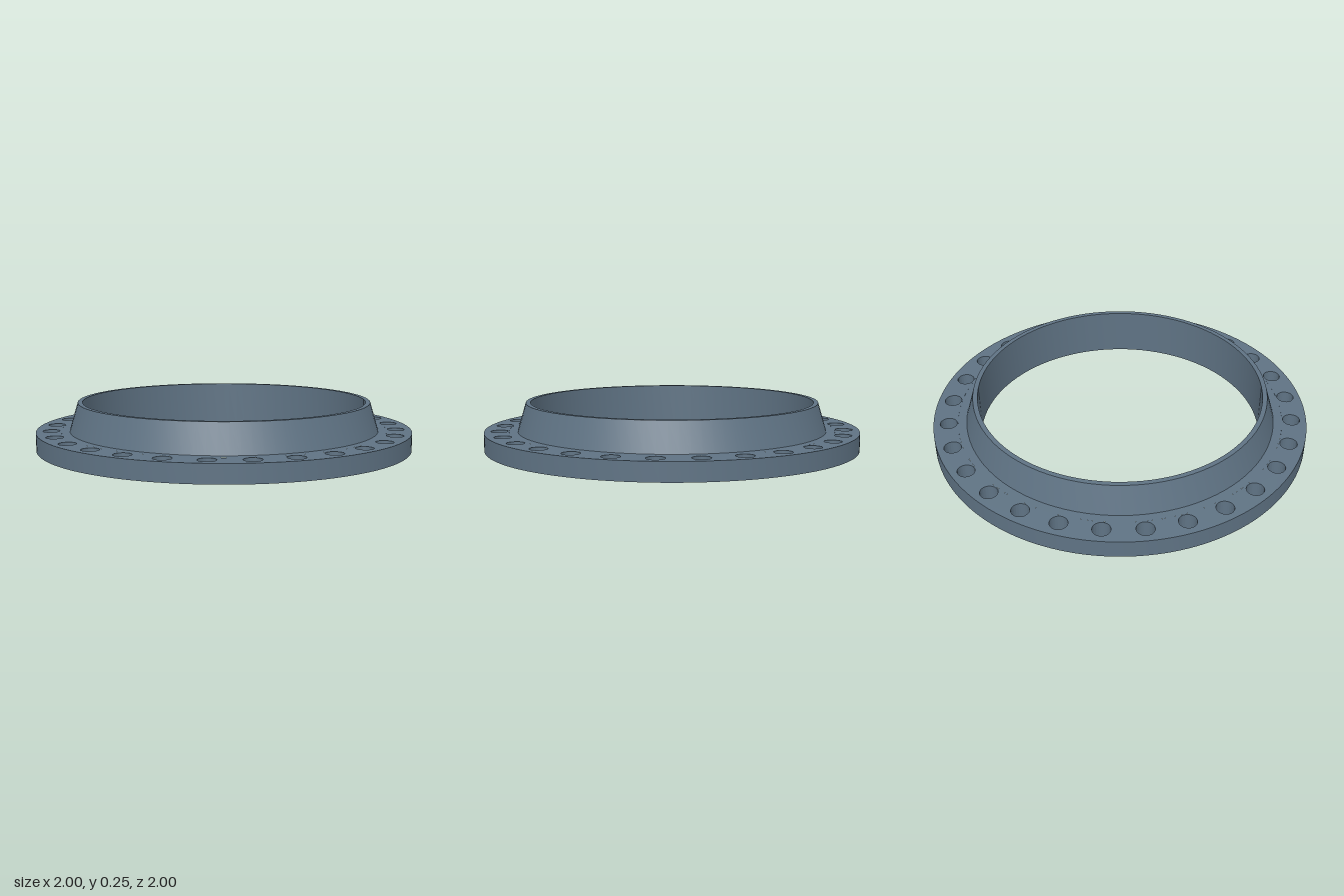
import * as THREE from 'three';
import { toCreasedNormals } from 'three/addons/utils/BufferGeometryUtils.js';

const SEGMENTS = 96;
const OUTER_R = 1, FACE_R = 0.87, BORE_R = 0.755;
const LIP = 0.01, PLATE_TOP = 0.105, TOP = 0.255;
const BOLTS = 28, BOLT_CIRCLE = 0.92, BOLT_R = 0.045;

const material = new THREE.MeshStandardMaterial({ color: 0x5f7384 });

function addPart(group, name, geometry) {
  const mesh = new THREE.Mesh(toCreasedNormals(geometry, Math.PI / 7), material);
  mesh.name = name;
  group.add(mesh);
}

function circleHole(x, y, r) {
  return new THREE.Path().absarc(x, y, r, 0, Math.PI * 2, true);
}

export function createModel() {
  const group = new THREE.Group();
  group.name = 'weldNeckFlange';

  // Drilled outer plate with its ring of bolt holes
  const plate = new THREE.Shape().absarc(0, 0, OUTER_R, 0, Math.PI * 2, false);
  plate.holes.push(circleHole(0, 0, FACE_R));
  for (let i = 0; i < BOLTS; i++) {
    const a = (i / BOLTS) * Math.PI * 2;
    plate.holes.push(circleHole(BOLT_CIRCLE * Math.cos(a), BOLT_CIRCLE * Math.sin(a), BOLT_R));
  }
  const plateGeometry = new THREE.ExtrudeGeometry(plate, {
    depth: PLATE_TOP - LIP, bevelEnabled: false, curveSegments: SEGMENTS,
  });
  plateGeometry.rotateX(-Math.PI / 2).translate(0, LIP, 0);
  addPart(group, 'boltPlate', plateGeometry);

  // Tapered neck, straight bore and raised sealing face in one turned profile
  const profile = [
    [FACE_R, PLATE_TOP], [0.825, PLATE_TOP], [0.78, TOP], [BORE_R, TOP],
    [BORE_R, 0], [FACE_R, 0], [FACE_R, LIP],
  ].map(([r, y]) => new THREE.Vector2(r, y));
  addPart(group, 'neckAndRaisedFace', new THREE.LatheGeometry(profile, SEGMENTS));

  return group;
}
